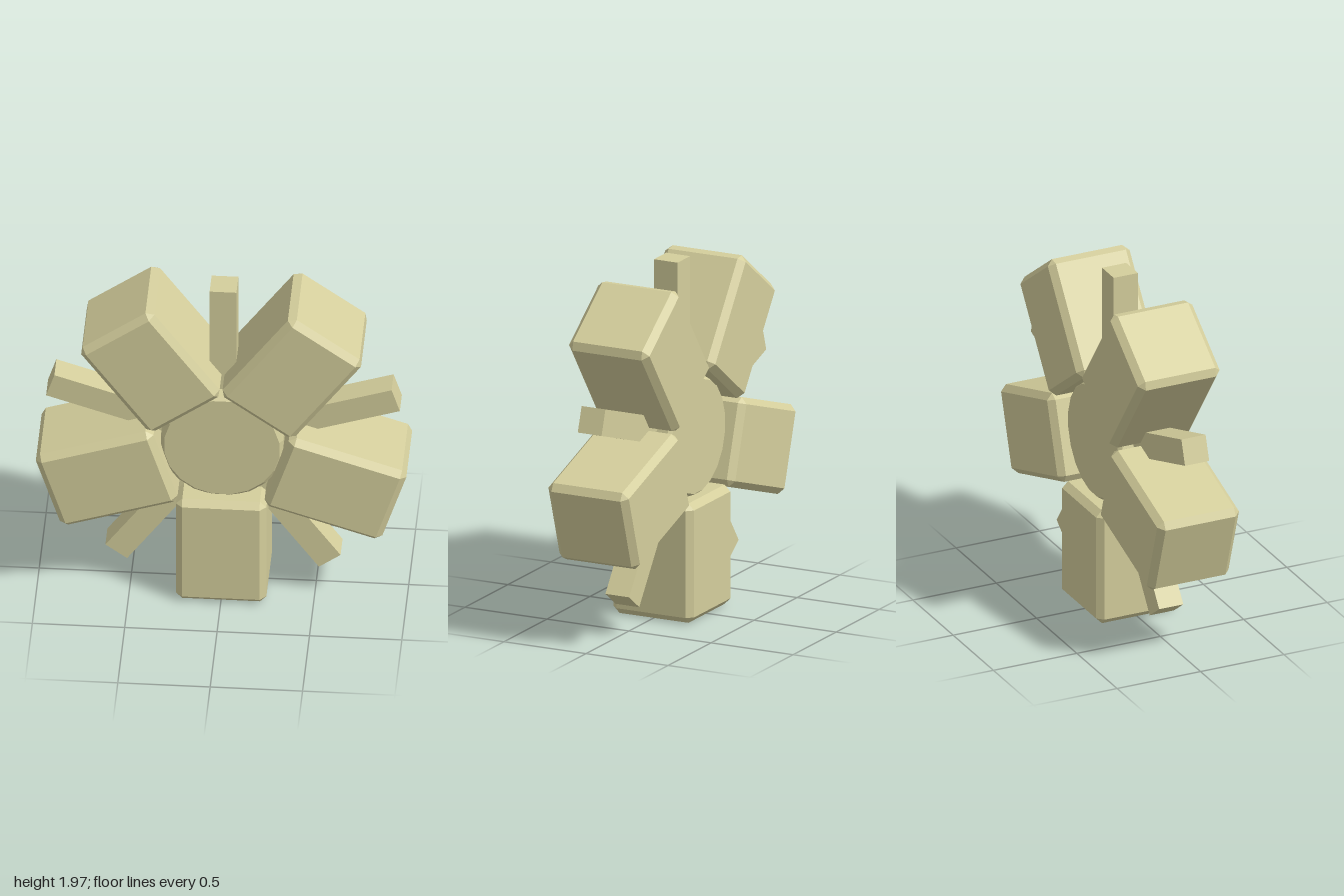
import * as THREE from 'three';
import { ConvexGeometry } from 'three/addons/geometries/ConvexGeometry.js';

const CENTER_Y = 0.986;
const COUNT = 5;

// Box with every edge cut by a flat chamfer of size c
function chamferedBox(w, h, d, c) {
  const points = [];
  for (const sx of [-1, 1]) for (const sy of [-1, 1]) for (const sz of [-1, 1]) {
    const x = w / 2, y = h / 2, z = d / 2;
    points.push(
      new THREE.Vector3(sx * x, sy * (y - c), sz * (z - c)),
      new THREE.Vector3(sx * (x - c), sy * y, sz * (z - c)),
      new THREE.Vector3(sx * (x - c), sy * (y - c), sz * z)
    );
  }
  return new ConvexGeometry(points);
}

export function createModel() {
  const model = new THREE.Group();
  model.name = 'paddleWheel';
  const sand = new THREE.MeshStandardMaterial({ color: 0xd4ce9c, flatShading: true });
  sand.name = 'sand';

  const wheel = new THREE.Group();
  wheel.name = 'wheel';
  wheel.position.y = CENTER_Y;
  model.add(wheel);

  // Hub: twenty-sided disc with bevelled rims
  const profile = [[0, -0.16], [0.315, -0.16], [0.335, -0.14], [0.335, 0.14], [0.315, 0.16], [0, 0.16]]
    .map(([r, y]) => new THREE.Vector2(r, y));
  const hubGeometry = new THREE.LatheGeometry(profile, 20, Math.PI / 20);
  hubGeometry.rotateX(Math.PI / 2);
  const hub = new THREE.Mesh(hubGeometry, sand);
  hub.name = 'hub';
  wheel.add(hub);

  // Blocks and spokes alternate around the hub
  const blockGeometry = chamferedBox(0.49, 0.67, 0.49, 0.035);
  blockGeometry.translate(0, -0.651, 0);
  const spokeGeometry = new THREE.BoxGeometry(0.145, 0.783, 0.145);
  spokeGeometry.translate(0, 0.5915, 0);

  for (let i = 0; i < COUNT; i++) {
    const angle = (i / COUNT) * Math.PI * 2;
    const block = new THREE.Mesh(blockGeometry, sand);
    block.name = `block${i + 1}`;
    block.rotation.z = angle;
    const spoke = new THREE.Mesh(spokeGeometry, sand);
    spoke.name = `spoke${i + 1}`;
    spoke.rotation.z = angle;
    wheel.add(block, spoke);
  }
  return model;
}
